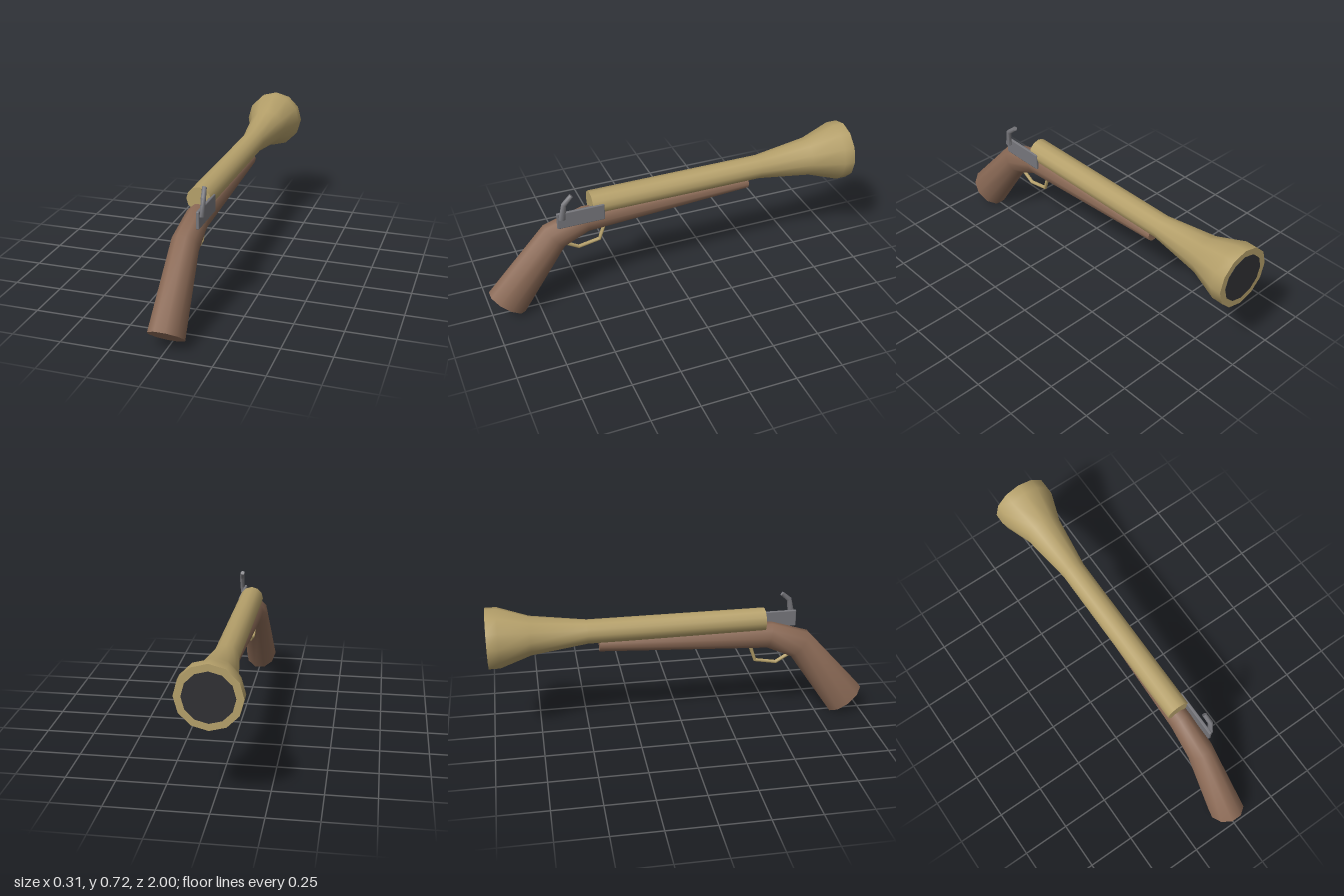
import * as THREE from 'three';
import { toCreasedNormals } from 'three/addons/utils/BufferGeometryUtils.js';
import { RoundedBoxGeometry } from 'three/addons/geometries/RoundedBoxGeometry.js';

const material = (color) => new THREE.MeshStandardMaterial({ color });

// Closed mitred sweep running towards -z; each station is [x, y, z, rx, ry]
function sweep(stations, sides) {
  const angles = stations.slice(1).map((s, i) =>
    Math.atan2(s[1] - stations[i][1], stations[i][2] - s[2]));
  const pos = [];
  const index = [];
  stations.forEach(([x, y, z, rx, ry], i) => {
    const before = angles[Math.max(i - 1, 0)];
    const after = angles[Math.min(i, angles.length - 1)];
    const tilt = (before + after) / 2;
    for (let k = 0; k < sides; k++) {
      const a = (k / sides) * Math.PI * 2;
      const up = ry * Math.sin(a);
      pos.push(x + rx * Math.cos(a), y + up * Math.cos(tilt), z + up * Math.sin(tilt));
    }
  });
  const last = (stations.length - 1) * sides;
  for (let k = 0; k < sides; k++) {
    const n = (k + 1) % sides;
    for (let r = 0; r < last; r += sides) {
      index.push(r + k, r + sides + k, r + n);
      index.push(r + n, r + sides + k, r + sides + n);
    }
    // End caps as fans
    if (k > 0 && k < sides - 1) {
      index.push(0, k, n);
      index.push(last, last + n, last + k);
    }
  }
  const geo = new THREE.BufferGeometry();
  geo.setAttribute('position', new THREE.Float32BufferAttribute(pos, 3));
  geo.setIndex(index);
  return toCreasedNormals(geo, 0.9);
}

export function createModel() {
  const group = new THREE.Group();
  const brass = material(0xb5a06a);
  const wood = material(0x8b6a56);
  const steel = material(0x77777c);
  const dark = material(0x303034);

  const add = (name, geo, mat) => {
    const mesh = new THREE.Mesh(geo, mat);
    mesh.name = name;
    group.add(mesh);
    return mesh;
  };

  // Barrel with flared muzzle, turned to point along -z
  const profile = [
    [0, -0.445], [0.063, -0.445], [0.063, 0.49], [0.102, 0.78],
    [0.157, 0.94], [0.157, 0.998], [0, 0.998],
  ].map(([r, h]) => new THREE.Vector2(r, h));
  const barrel = toCreasedNormals(new THREE.LatheGeometry(profile, 12), 0.7);
  barrel.rotateX(-Math.PI / 2);
  add('barrel', barrel, brass).position.y = 0.57;

  // Dark bore disc at the muzzle
  const bore = new THREE.CylinderGeometry(0.122, 0.122, 0.01, 12);
  bore.rotateX(-Math.PI / 2);
  add('bore', bore, dark).position.set(0, 0.57, -0.995);

  // Stock: butt, wrist and tapering fore-end
  add('stock', sweep([
    [0, 0.069, 0.916, 0.09, 0.113],
    [0, 0.417, 0.642, 0.07, 0.084],
    [0, 0.479, 0.475, 0.06, 0.072],
    [0, 0.492, -0.43, 0.036, 0.036],
  ], 10), wood);

  // Lock plate on the left side
  add('lockPlate', new RoundedBoxGeometry(0.016, 0.09, 0.25, 1, 0.005), steel)
    .position.set(0.059, 0.541, 0.511);

  // Cocked hammer
  add('hammer', sweep([
    [0.074, 0.555, 0.613, 0.012, 0.018],
    [0.077, 0.643, 0.599, 0.013, 0.014],
    [0.068, 0.681, 0.556, 0.012, 0.012],
  ], 8), steel);

  // Trigger guard
  const guard = [[0.372, 0.61], [0.316, 0.516], [0.337, 0.402], [0.43, 0.37]];
  add('triggerGuard', sweep(guard.map(([y, z]) => [0, y, z, 0.01, 0.01]), 8), brass);

  return group;
}
